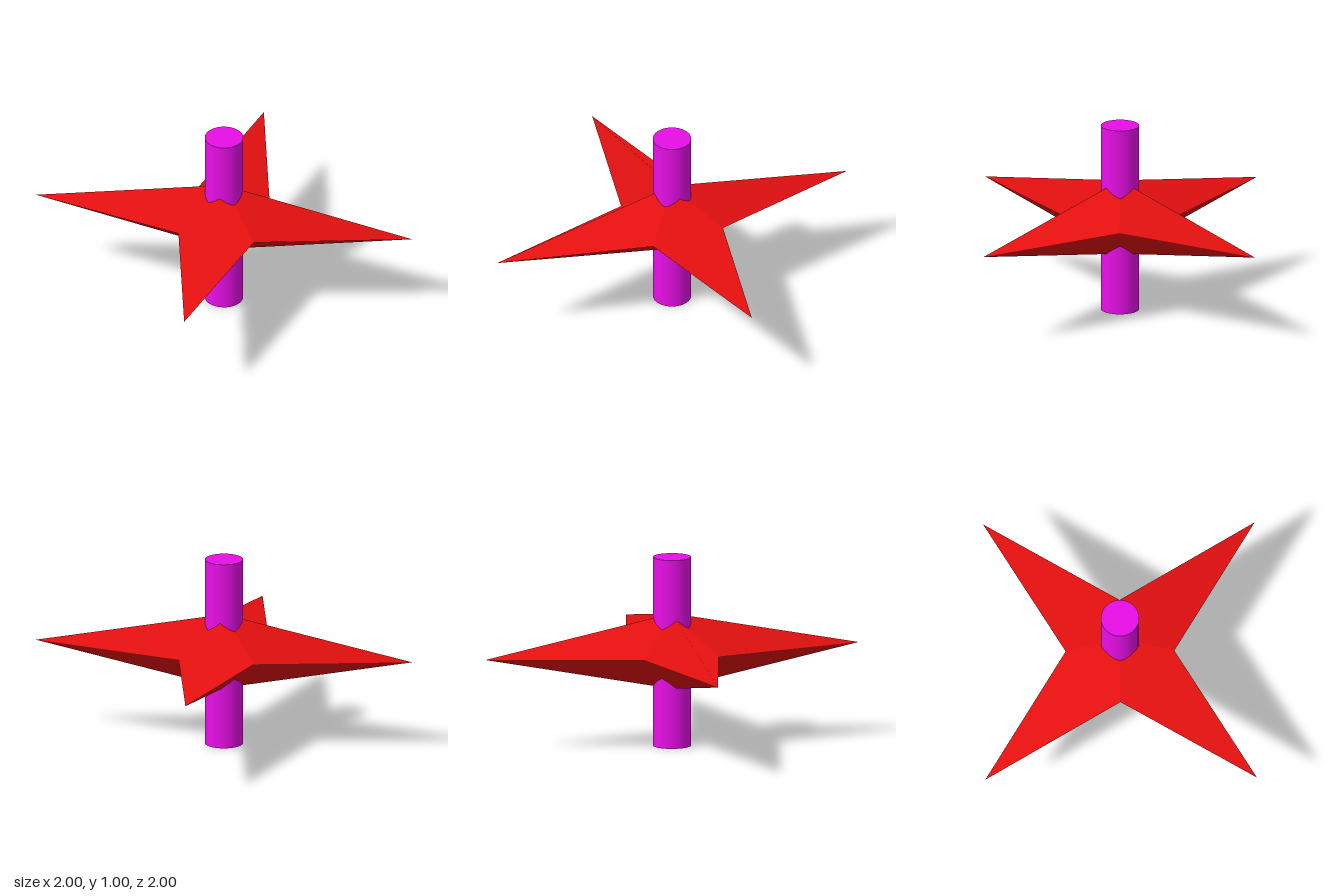
import * as THREE from 'three';

const TIP = 1, NOTCH = 0.2, RISE = 0.2, MID = 0.5;

// One ridged half (side = 1 upper, -1 lower) of a star arm pointing along +x.
// Both facets share one normal, so the arm shades as a single face.
function armHalf(side) {
  const apex = [0, RISE * side, 0];
  const tip = [TIP, 0, 0];
  const front = [NOTCH, 0, NOTCH];
  const back = [NOTCH, 0, -NOTCH];
  const corners = side > 0
    ? [apex, front, tip, apex, tip, back]
    : [apex, tip, front, apex, back, tip];
  const n = new THREE.Vector3(RISE, TIP * side, 0).normalize();
  const geometry = new THREE.BufferGeometry();
  geometry.setAttribute('position', new THREE.Float32BufferAttribute(corners.flat(), 3));
  geometry.setAttribute('normal', new THREE.Float32BufferAttribute(
    corners.flatMap(() => n.toArray()), 3));
  return geometry;
}

export function createModel() {
  const red = new THREE.MeshStandardMaterial({ color: 0xe71010 });
  red.name = 'red';
  const magenta = new THREE.MeshStandardMaterial({ color: 0xe70fe7 });
  magenta.name = 'magenta';

  const model = new THREE.Group();
  model.name = 'spinningStar';

  // Upright round shaft through the middle
  const shaft = new THREE.Mesh(new THREE.CylinderGeometry(0.1, 0.1, 1, 32), magenta);
  shaft.name = 'shaft';
  shaft.position.y = MID;
  model.add(shaft);

  // Four-pointed star: the same arm turned in quarter steps
  const star = new THREE.Group();
  star.name = 'star';
  star.position.y = MID;
  const upper = armHalf(1), lower = armHalf(-1);
  ['leftArm', 'backArm', 'rightArm', 'frontArm'].forEach((name, i) => {
    const arm = new THREE.Group();
    arm.name = name;
    arm.rotation.y = i * Math.PI / 2;
    const top = new THREE.Mesh(upper, red);
    top.name = 'armTop';
    const bottom = new THREE.Mesh(lower, red);
    bottom.name = 'armUnderside';
    arm.add(top, bottom);
    star.add(arm);
  });
  model.add(star);

  return model;
}
